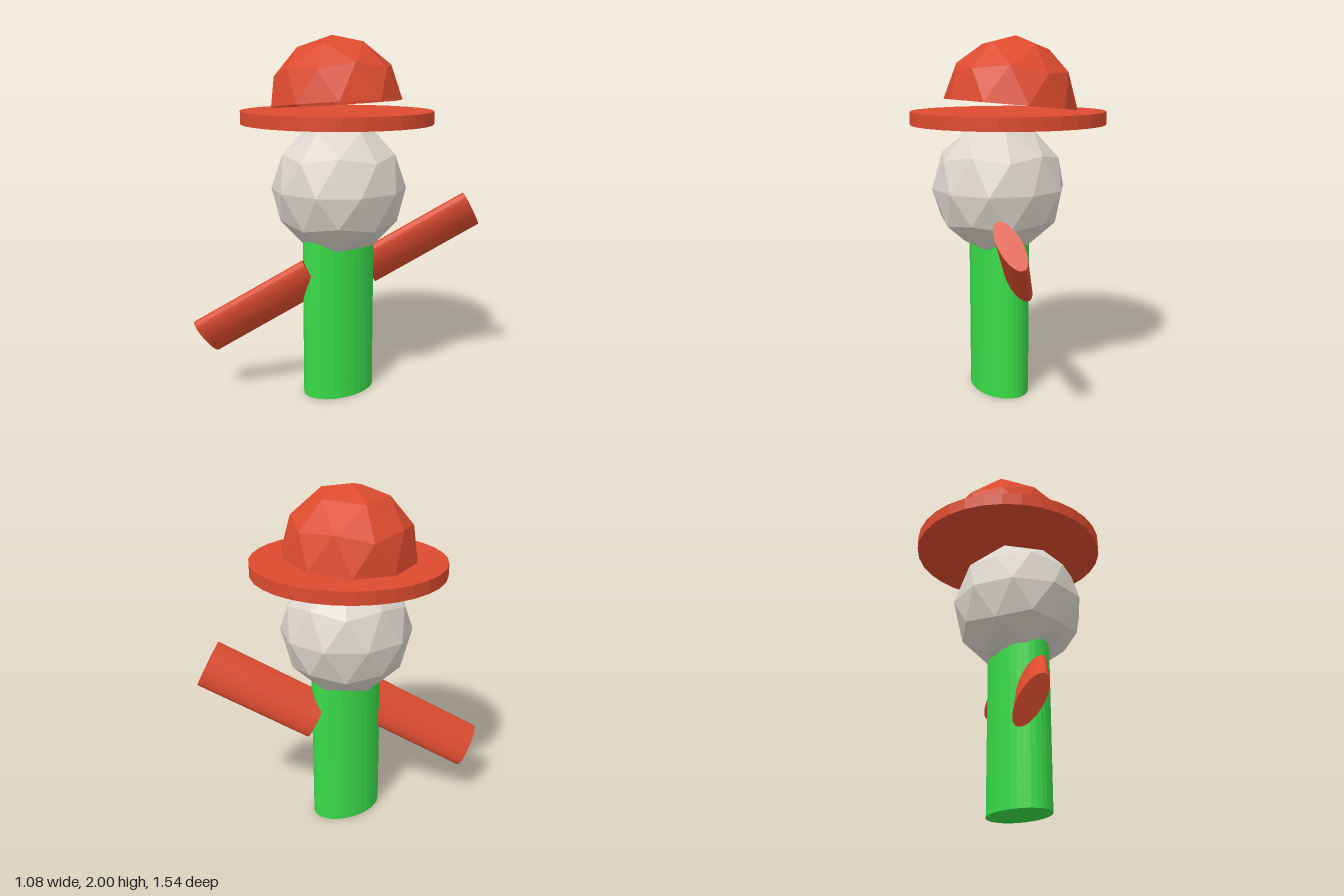
import * as THREE from 'three';

const mat = (name, color, extra = {}) =>
  Object.assign(new THREE.MeshStandardMaterial({ color, flatShading: true, ...extra }), { name });

// 80-sided ball with a corner at the top pole, turned about y
function facetedBall(radius, turn) {
  const g = new THREE.IcosahedronGeometry(radius, 1);
  g.rotateZ(Math.atan2(2, 1 + Math.sqrt(5)));
  g.rotateY(turn);
  return g;
}

// keep only the faces above the equator
function upperHalf(ball) {
  const p = ball.attributes.position;
  const kept = [];
  for (let i = 0; i < p.count; i += 3) {
    if (p.getY(i) + p.getY(i + 1) + p.getY(i + 2) < 0) continue;
    for (let j = i; j < i + 3; j++) kept.push(p.getX(j), p.getY(j), p.getZ(j));
  }
  const g = new THREE.BufferGeometry();
  g.setAttribute('position', new THREE.Float32BufferAttribute(kept, 3));
  g.computeVertexNormals();
  return g;
}

// elliptical cylinder
function ovalCylinder(rx, height, rz) {
  return new THREE.CylinderGeometry(1, 1, height, 32).scale(rx, 1, rz);
}

export function createModel() {
  const model = new THREE.Group();
  model.name = 'figure';
  const red = mat('red', 0xdd4b2f, { side: THREE.DoubleSide });
  const green = mat('green', 0x39dc49);
  const grey = mat('warmGrey', 0xdcd6cd);

  const add = (name, geometry, material, x, y, z) => {
    const mesh = new THREE.Mesh(geometry, material);
    mesh.name = name;
    mesh.position.set(x, y, z);
    model.add(mesh);
    return mesh;
  };

  // body and head
  add('body', ovalCylinder(0.15, 0.98, 0.22), green, 0.05, 0.49, 0.02);
  add('head', facetedBall(0.372, Math.PI), grey, 0.05, 1.18, 0.02);

  // hat: flat brim and a tilted open dome
  add('hatBrim', ovalCylinder(0.54, 0.07, 0.525), red, 0, 1.565, -0.002);
  const dome = add('hatDome', upperHalf(facetedBall(0.369, THREE.MathUtils.degToRad(-15))),
    red, -0.01, 1.635, -0.005);
  dome.rotation.z = THREE.MathUtils.degToRad(5.5);

  // arms: parallel oval rods, one low in front and one high behind
  const along = new THREE.Vector3(0.33, 0.343, -0.5);
  const length = along.length();
  along.normalize();
  const wide = new THREE.Vector3(0.187, 0.749, 0.637);
  wide.addScaledVector(along, -wide.dot(along)).normalize();
  const thin = new THREE.Vector3().crossVectors(along, wide);
  const basis = new THREE.Matrix4().makeBasis(thin, along, wide);
  for (const [name, x, y, z] of [
    ['frontArm', -0.132, 0.524, 0.435],
    ['backArm', 0.21, 0.86, -0.435],
  ]) {
    add(name, ovalCylinder(0.057, length, 0.133), red, x, y, z)
      .quaternion.setFromRotationMatrix(basis);
  }
  return model;
}
